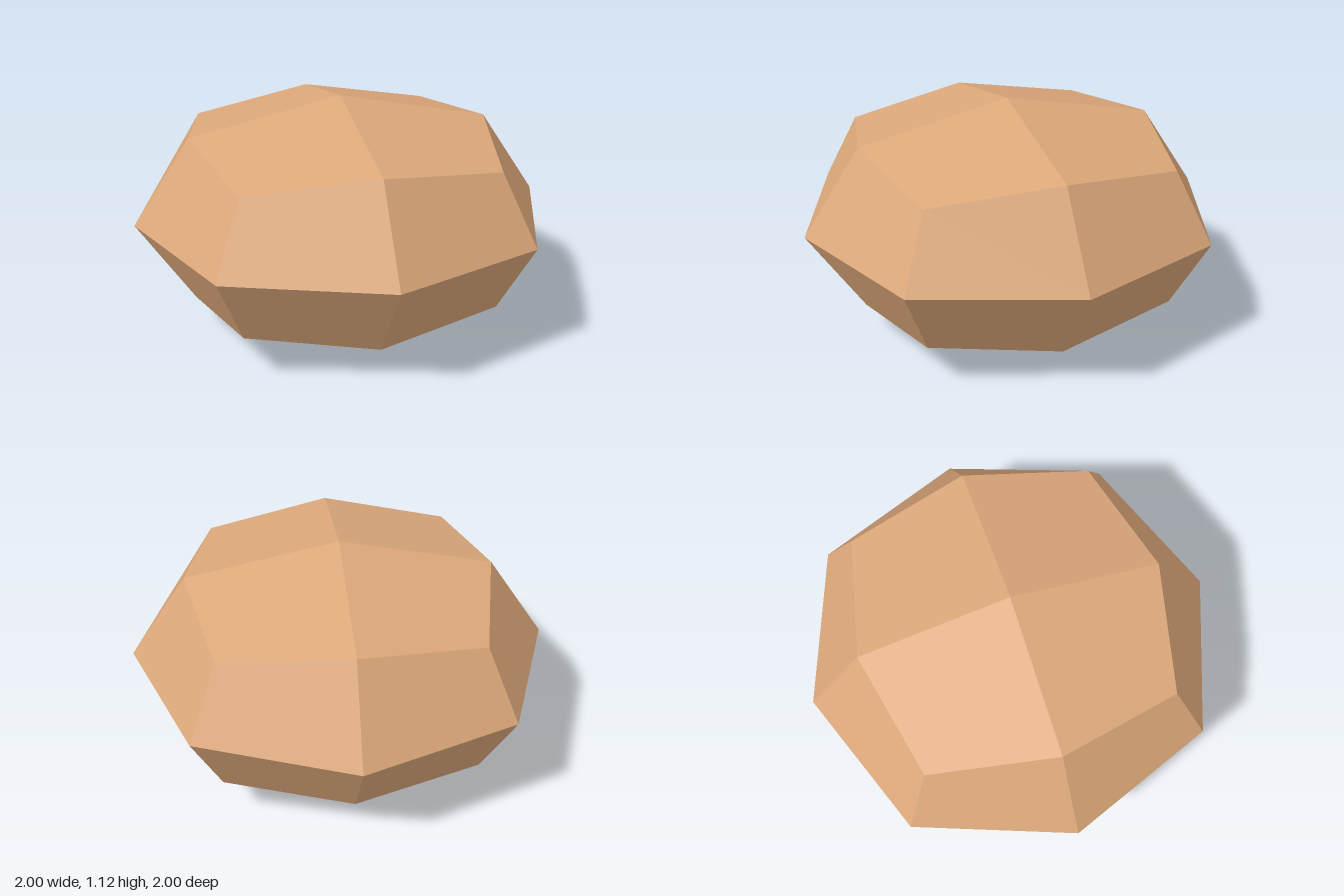
import * as THREE from 'three';

const EDGE = 0.727;    // edge midpoint distance along its two axes
const CORNER = 0.597;  // corner distance along all three axes
const SQUASH = 0.5625; // height relative to width

// Rounded, squashed cube: each of the six sides is a 2 x 2 patch of flat quads
function roundedStoneGeometry() {
  const positions = [], normals = [];

  // Place a point of the 3 x 3 x 3 lattice on the rounded surface
  const place = (v) => {
    const n = Math.abs(v.x) + Math.abs(v.y) + Math.abs(v.z);
    const p = v.clone().multiplyScalar([0, 1, EDGE, CORNER][n]);
    p.y = (p.y + 1) * SQUASH;
    return p;
  };

  for (let axis = 0; axis < 3; axis++) {
    for (const side of [-1, 1]) for (const s of [-1, 1]) for (const t of [-1, 1]) {
      const unit = (a, b) => {
        const v = new THREE.Vector3().setComponent(axis, side);
        return place(v.setComponent((axis + 1) % 3, a).setComponent((axis + 2) % 3, b));
      };
      // Corner order runs counter-clockwise seen from outside
      const quad = [unit(0, 0), unit(s, 0), unit(s, t), unit(0, t)];
      if (side * s * t < 0) quad.reverse();

      const normal = quad[2].clone().sub(quad[0])
        .cross(quad[3].clone().sub(quad[1])).normalize();
      // Split each quad from side centre to corner
      const order = side * s * t < 0 ? [3, 0, 1, 3, 1, 2] : [0, 1, 2, 0, 2, 3];
      for (const i of order) {
        positions.push(...quad[i].toArray());
        normals.push(...normal.toArray());
      }
    }
  }

  const geometry = new THREE.BufferGeometry();
  geometry.setAttribute('position', new THREE.Float32BufferAttribute(positions, 3));
  geometry.setAttribute('normal', new THREE.Float32BufferAttribute(normals, 3));
  return geometry;
}

export function createModel() {
  const group = new THREE.Group();
  group.name = 'facetedStone';
  const tan = new THREE.MeshStandardMaterial({ color: 0xdca87a });
  tan.name = 'tan';

  const stone = new THREE.Mesh(roundedStoneGeometry(), tan);
  stone.name = 'stoneBody';
  group.add(stone);
  return group;
}
